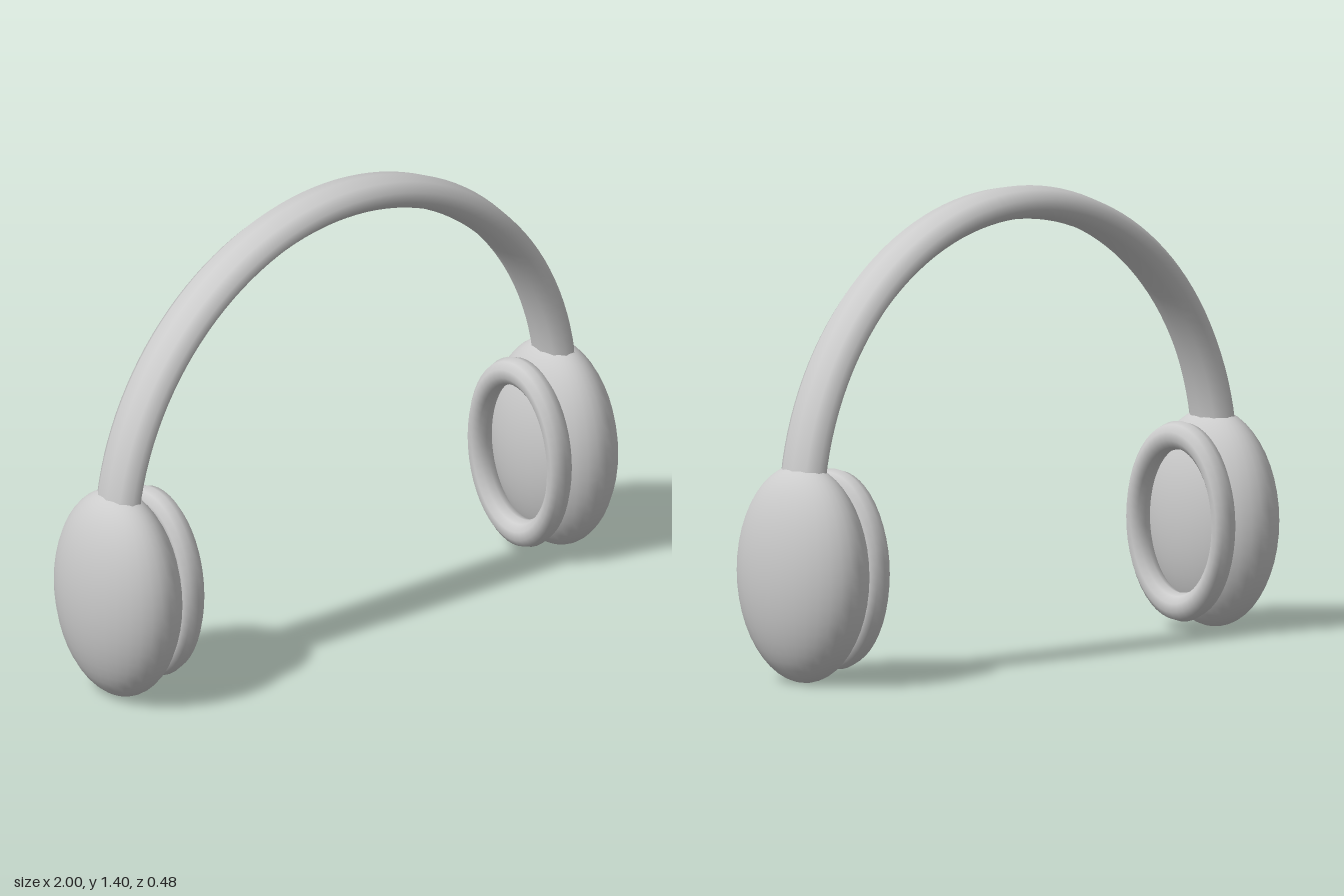
import * as THREE from 'three';

const material = new THREE.MeshStandardMaterial({ color: 0xcccccc });

function part(name, geometry) {
  const mesh = new THREE.Mesh(geometry, material);
  mesh.name = name;
  return mesh;
}

// One ear piece; side is +1 for left, -1 for right
function earPiece(side) {
  const group = new THREE.Group();
  group.name = side > 0 ? 'leftEarPiece' : 'rightEarPiece';

  // Ellipsoid shell
  const cup = part('earCup', new THREE.SphereGeometry(1, 32, 24).scale(0.145, 0.328, 0.24));
  cup.position.set(side * 0.855, 0.33, 0);

  // Oval ring cushion on the inner face
  const cushion = part('earCushion',
    new THREE.TorusGeometry(0.258, 0.043, 10, 48).scale(0.7, 1, 1).rotateY(side * Math.PI / 2));
  cushion.position.set(side * 0.721, 0.33, 0);

  group.add(cup, cushion);
  return group;
}

export function createModel() {
  const model = new THREE.Group();
  model.name = 'headphones';

  // Half-ring headband with a wide oval section; its ends sink into the cups
  const band = part('headband', new THREE.TorusGeometry(0.863, 0.05, 10, 64, Math.PI).scale(1, 1, 1.68));
  band.position.y = 0.493;

  model.add(band, earPiece(1), earPiece(-1));
  return model;
}
